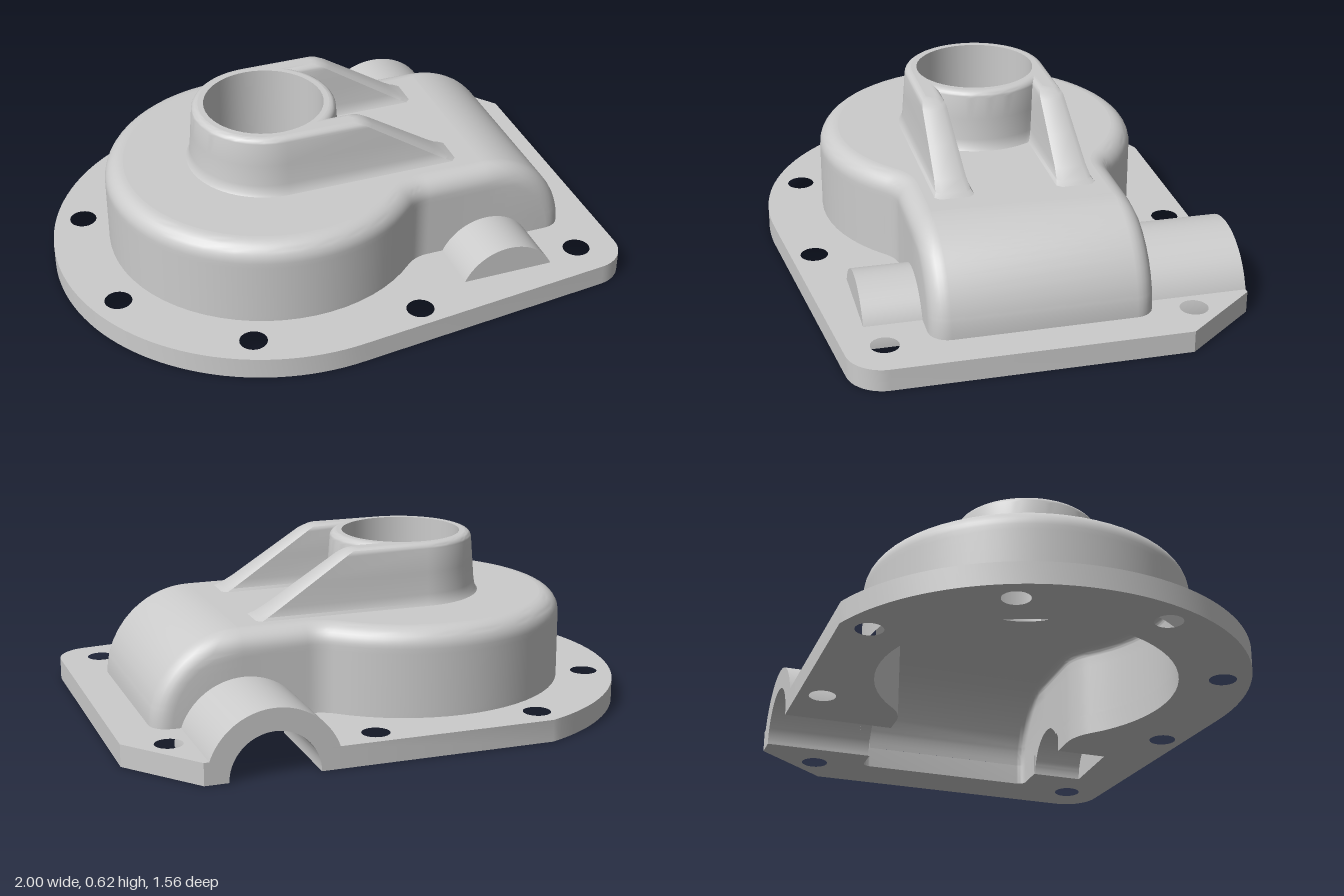
import * as THREE from 'three';
import { toCreasedNormals } from 'three/addons/utils/BufferGeometryUtils.js';

const CX = -0.195, CZ = -0.03;   // axis of the round chamber and its bore
const SX = 0.54;                 // x of the horizontal shaft axis (at y = 0)
const BORE = 0.22, BACK_BORE = 0.16, FRONT_BORE = 0.14, POCKET_Z = 0.51;
const BASE = 0.08;               // flange thickness
const grey = new THREE.MeshStandardMaterial({ color: 0xcccccc });
const greyDouble = new THREE.MeshStandardMaterial({ color: 0xcccccc, side: THREE.DoubleSide });

function mesh(name, geometry, material = grey) {
  const m = new THREE.Mesh(geometry, material);
  m.name = name;
  return m;
}

function arc(cx, cz, r, a0, a1, n, first = 0) {
  const out = [];
  for (let i = first; i <= n; i++) {
    const a = a0 + (a1 - a0) * i / n;
    out.push([cx + r * Math.cos(a), cz + r * Math.sin(a)]);
  }
  return out;
}

// Joins a half outline and its mirror image into a closed loop around the chamber axis
function closeLoop(front, back) {
  const mirrored = back.map(([x, z]) => [x, -z]).reverse();
  mirrored.pop();
  return [...front, ...mirrored].map(([x, z]) => [x + CX, z + CZ]);
}

// Skin between outline rings; the quads listed in skip stay open
function loft(rings, inward = false, skip = []) {
  const n = rings[0].pts.length, pos = [], index = [];
  for (const { pts, y } of rings) for (const [x, z] of pts) pos.push(x, y, z);
  for (let i = 0; i < rings.length - 1; i++) {
    for (let j = 0; j < n; j++) {
      if (skip.includes(j)) continue;
      const k = (j + 1) % n;
      const a = i * n + j, b = i * n + k, c = a + n, d = b + n;
      if (inward) index.push(a, d, b, a, c, d);
      else index.push(a, b, d, a, d, c);
    }
  }
  const g = new THREE.BufferGeometry();
  g.setAttribute('position', new THREE.Float32BufferAttribute(pos, 3));
  g.setIndex(index);
  return toCreasedNormals(g, 0.6);
}

// Flat cap with the vertical bore cut out
function cap({ pts, y }, down = false) {
  const s = down ? 1 : -1;
  const shape = new THREE.Shape(pts.map(([x, z]) => new THREE.Vector2(x, s * z)));
  shape.holes.push(new THREE.Path().absarc(CX, s * CZ, BORE, 0, Math.PI * 2, true));
  return new THREE.ShapeGeometry(shape, 24).rotateX(s * Math.PI / 2).translate(0, y, 0);
}

// Housing outline at height y, offset inward by wall w: round chamber, concave
// fillets and a box whose far end rolls over the shaft axis
const FRONT_GAP = 33, BACK_GAP = 49;
function housingRing(y, w, r) {
  const top = 0.4 - w, over = Math.max(0, y - (top - r));
  const d = r - Math.sqrt(Math.max(0, r * r - over * over));
  const half = 0.395 - w, endR = 0.325 - w, sx = SX - CX;
  const phi = Math.atan2(0.525, 0.5);
  const side = (bore) => {
    const b = Math.sqrt(Math.max(0, bore * bore - y * y));
    const pts = [
      ...arc(0, 0, 0.595 - w - d, Math.PI, phi, 24),
      ...arc(0.5, 0.525, 0.13 + w + d, phi - Math.PI, -Math.PI / 2, 8, 1),
      [sx - b, half - d], [sx + b, half - d],
    ];
    const tMax = Math.min(r, top - y), h = Math.max(0, y - 0.075);
    for (let i = 0; i <= 6; i++) {
      const t = tMax * (1 - i / 6) ** 2;
      const inset = r - Math.sqrt(Math.max(0, r * r - (r - t) ** 2));
      pts.push([sx + Math.sqrt(Math.max(0, (endR - t) ** 2 - h * h)), half - inset]);
    }
    return pts;
  };
  return { y, pts: closeLoop(side(FRONT_BORE), side(BACK_BORE)) };
}

function housingRings(w, r) {
  const ys = [BASE, 0.1, 0.12, 0.13, 0.137, FRONT_BORE, 0.15, 0.157, BACK_BORE, 0.2, 0.24, 0.28, 0.31];
  const start = 0.4 - w - r;
  const levels = ys.filter((y) => y < start - 0.005);
  for (let i = 0; i <= 10; i++) levels.push(start + r * Math.sin(i / 10 * Math.PI / 2));
  return levels.map((y) => housingRing(y, w, r));
}

// Boss outline: round collar with two tangent ribs running out along +x
function bossRing(y, d) {
  const R = 0.265 - d, inner = 0.175 + d, c = 0.018;
  const xe = 0.625 - (y - 0.4) * 1.467 - d;
  const half = [
    ...arc(0, 0, R, Math.PI, Math.PI / 2, 20),
    [xe - c, R], [xe, R - c], [xe, inner + c], [xe - c, inner],
    ...arc(0, 0, R, Math.asin(inner / R), 0, 8),
  ];
  const back = half.slice(0, -1);
  return { y, pts: closeLoop(half, back) };
}

function flange(wall) {
  const pts = [
    [SX - BACK_BORE, -0.785],
    ...arc(CX, CZ, 0.805, -1.925, -Math.PI * 1.5 - 0.12, 60),
    ...arc(0.87, 0.53, 0.13, Math.PI / 2 - 0.12, 0, 10),
    [1, -0.515], [0.785, -0.785], [SX + BACK_BORE, -0.785],
  ];
  // Cavity edge, with the front shaft pocket and the open back shaft notch
  const loop = housingRing(0, wall, 0.03).pts, n = loop.length;
  for (let k = 0; k < n; k++) {
    const j = (BACK_GAP - k + n) % n;
    pts.push(loop[j]);
    if (j === FRONT_GAP + 1) pts.push([SX + FRONT_BORE, POCKET_Z], [SX - FRONT_BORE, POCKET_Z]);
  }
  const shape = new THREE.Shape(pts.map(([x, z]) => new THREE.Vector2(x, z)));
  const bolts = [[-0.46, -0.68], [0.155, -0.695], [0.845, -0.565], [-0.845, -0.295],
    [-0.845, 0.24], [-0.46, 0.62], [0.155, 0.655], [0.845, 0.52]];
  for (const [x, z] of bolts) {
    shape.holes.push(new THREE.Path().absarc(x, z, 0.05, 0, Math.PI * 2, true));
  }
  const g = new THREE.ExtrudeGeometry(shape, { depth: BASE, bevelEnabled: false, curveSegments: 16 });
  return toCreasedNormals(g.rotateX(Math.PI / 2).translate(0, BASE, 0), 0.5);
}

// Half ring (or half disc when inner is 0) along z on the shaft axis
function halfRing(outer, inner, z0, z1) {
  const shape = new THREE.Shape();
  shape.absarc(0, 0, outer, 0, Math.PI, false);
  if (inner) shape.absarc(0, 0, inner, Math.PI, 0, true);
  const g = new THREE.ExtrudeGeometry(shape, { depth: z1 - z0, bevelEnabled: false, curveSegments: 28 });
  return toCreasedNormals(g.translate(SX, 0, z0), 0.5);
}

export function createModel() {
  const model = new THREE.Group();
  model.name = 'gearboxCover';
  const WALL = 0.05;
  model.add(mesh('flange', flange(WALL)));

  // Hollow housing: outer skin, inner skin and their flat tops
  const gaps = [FRONT_GAP, BACK_GAP];
  const outer = housingRings(0, 0.07), inner = housingRings(WALL, 0.03);
  model.add(mesh('housingOuter', loft(outer, false, gaps)));
  model.add(mesh('housingRoof', cap(outer.at(-1))));
  model.add(mesh('housingInner', loft(inner, true, gaps)));
  model.add(mesh('cavityCeiling', cap(inner.at(-1), true)));

  // Collar with ribs, drafted sides and a rounded top edge
  const boss = [[0.395, -0.03], [0.41, -0.018], [0.44, -0.012], [0.52, -0.006]]
    .map(([y, d]) => bossRing(y, d));
  for (let i = 0; i <= 6; i++) {
    const a = i / 6 * Math.PI / 2;
    boss.push(bossRing(0.6 + 0.025 * Math.sin(a), 0.025 * (1 - Math.cos(a))));
  }
  model.add(mesh('collarAndRibs', loft(boss)));
  model.add(mesh('collarTop', cap(boss.at(-1))));
  const bore = new THREE.CylinderGeometry(BORE, BORE, 0.275, 48, 1, true);
  bore.rotateY(Math.PI / 2).translate(CX, 0.4875, CZ);
  model.add(mesh('collarBore', bore, greyDouble));

  // Shaft bearings: open at the back, blind at the front
  model.add(mesh('backBearing', halfRing(0.24, BACK_BORE, -0.785, -0.38)));
  model.add(mesh('frontBearing', halfRing(0.19, FRONT_BORE, 0.32, 0.57)));
  model.add(mesh('frontBearingEnd', halfRing(FRONT_BORE, 0, POCKET_Z, 0.57)));
  return model;
}
